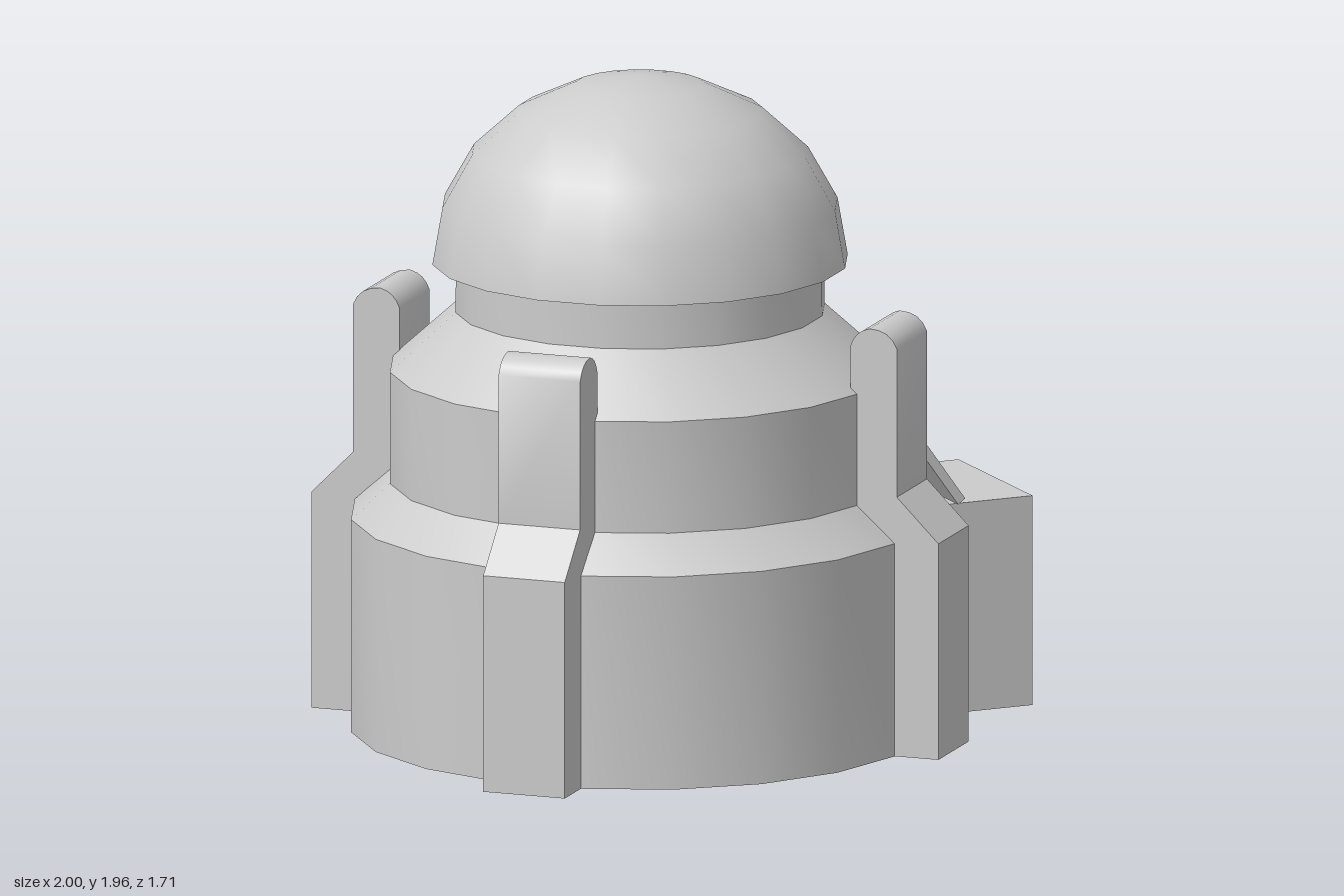
import * as THREE from 'three';
import { toCreasedNormals } from 'three/addons/utils/BufferGeometryUtils.js';

const SIDES = 20;
const CENTRE_X = -0.147; // axis of the round tower

export function createModel() {
  const model = new THREE.Group();
  model.name = 'domedBuilding';
  const material = new THREE.MeshStandardMaterial({ color: 0xcccccc });

  function add(parent, name, geometry) {
    const mesh = new THREE.Mesh(toCreasedNormals(geometry, 0.6), material);
    mesh.name = name;
    parent.add(mesh);
    return mesh;
  }
  const lathe = (points) =>
    new THREE.LatheGeometry(points.map(([r, y]) => new THREE.Vector2(r, y)), SIDES);

  const tower = new THREE.Group();
  tower.name = 'tower';
  tower.position.x = CENTRE_X;
  model.add(tower);

  // Stepped round body with the neck that runs up into the dome
  add(tower, 'body', lathe([
    [0, 0], [0.853, 0], [0.853, 0.64], [0.738, 0.745], [0.738, 1.08],
    [0.545, 1.255], [0.54, 1.6], [0, 1.6],
  ]));

  // Hollow dome: inner shell down to the rim, then outer shell up to the crown
  const arc = (radius, height) => Array.from({ length: 6 }, (_, i) => {
    const a = (i / 5) * Math.PI / 2;
    return [i === 5 ? 0 : radius * Math.cos(a), 1.4 + height * Math.sin(a)];
  });
  add(tower, 'dome', lathe([...arc(0.593, 0.535).reverse(), ...arc(0.613, 0.555)]));

  // Four diagonal buttresses: radial profile extruded across its width
  const width = 0.255;
  const profile = new THREE.Shape();
  profile.moveTo(0.6, 0);
  profile.lineTo(0.98, 0);
  profile.lineTo(0.98, 0.65);
  profile.lineTo(0.85, 0.78);
  profile.lineTo(0.85, 1.225);
  profile.quadraticCurveTo(0.83, 1.28, 0.765, 1.28);
  profile.quadraticCurveTo(0.72, 1.27, 0.705, 1.225);
  profile.lineTo(0.705, 0.78);
  profile.lineTo(0.6, 0.65);
  const buttress = new THREE.ExtrudeGeometry(profile, {
    depth: width, bevelEnabled: false, curveSegments: 4,
  });
  buttress.translate(0, 0, -width / 2);
  for (let i = 0; i < 4; i++) {
    add(tower, 'buttress', buttress).rotation.y = Math.PI / 4 + i * Math.PI / 2;
  }

  // Open square entrance tunnel on the left side
  const wall = 0.012, half = 0.26, top = 0.633, base = 0.003;
  const section = new THREE.Shape([
    new THREE.Vector2(-half, base), new THREE.Vector2(half, base),
    new THREE.Vector2(half, top), new THREE.Vector2(-half, top),
  ]);
  section.holes.push(new THREE.Path([
    new THREE.Vector2(-half + wall, base + wall), new THREE.Vector2(-half + wall, top - wall),
    new THREE.Vector2(half - wall, top - wall), new THREE.Vector2(half - wall, base + wall),
  ]));
  const tunnel = new THREE.ExtrudeGeometry(section, { depth: 0.36, bevelEnabled: false });
  tunnel.rotateY(Math.PI / 2);
  add(model, 'entranceTunnel', tunnel).position.x = 0.64;

  // Slanted canopy above the tunnel
  const canopy = add(model, 'canopy', new THREE.BoxGeometry(0.028, 0.228, 0.66));
  canopy.position.set(0.673, 0.748, 0);
  canopy.rotation.z = 0.62;

  return model;
}
